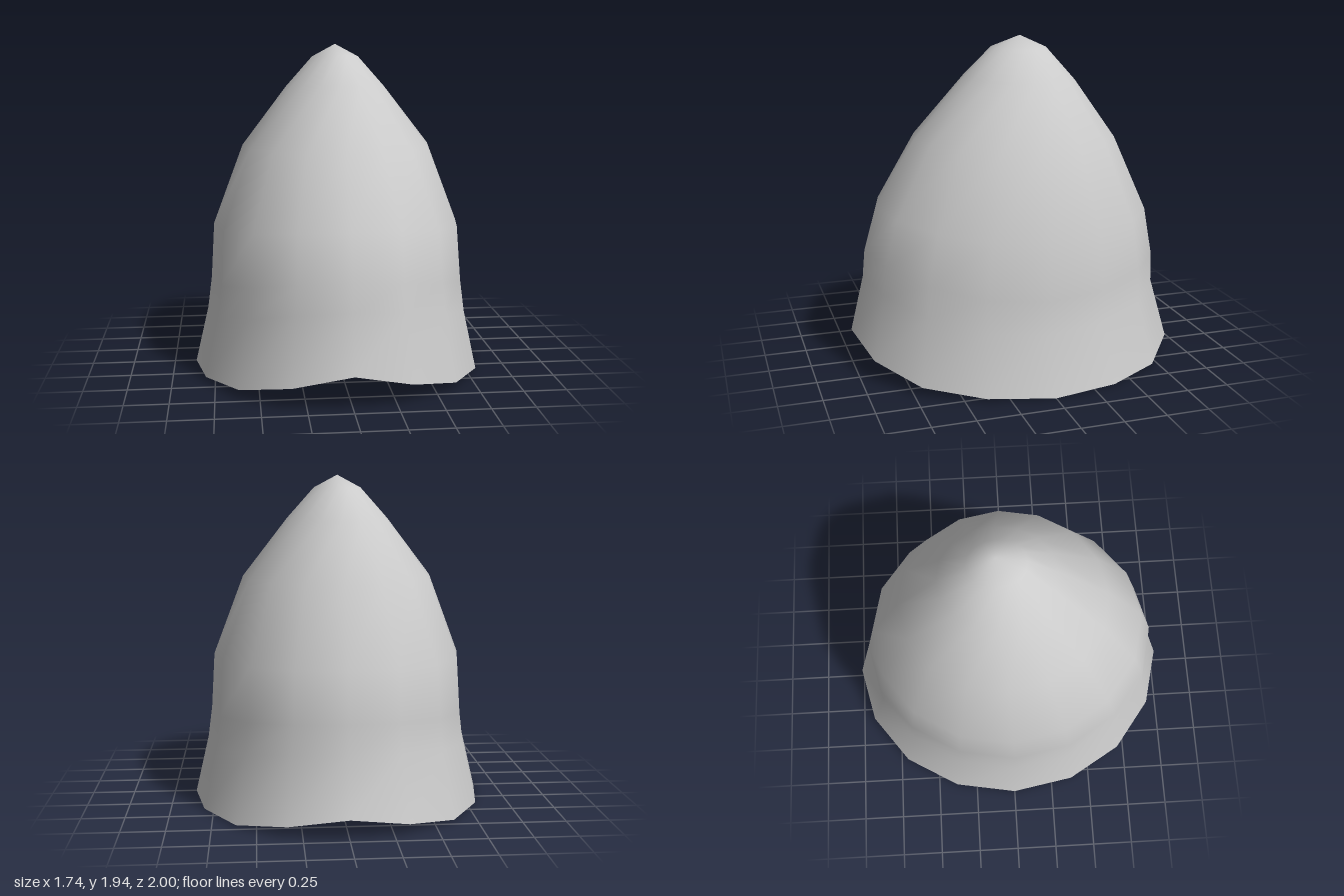
import * as THREE from 'three';

const SIDES = 16;

// Rings from hem to tip: half width, front z, back z, then height at front, side and back
const RINGS = [
  [0.87, 1.0, -1.0, 0.21, 0.005, 0.125],
  [0.79, 0.92, -0.895, 0.54, 0.35, 0.45],
  [0.765, 0.905, -0.895, 0.70, 0.54, 0.62],
  [0.745, 0.825, -0.84, 0.96, 0.87, 0.90],
  [0.565, 0.59, -0.64, 1.35, 1.345, 1.34],
  [0.30, 0.28, -0.40, 1.71, 1.69, 1.68],
  [0.14, 0.11, -0.23, 1.88, 1.87, 1.87],
];
const TIP = [0, 1.945, -0.065];

// Heights of the wavy hem, from the front round to the back
const HEM = [0.21, 0.13, 0.055, 0.025, 0.005, 0.01, 0.015, 0.07, 0.125];

function createHood() {
  const positions = [];
  const index = [];

  RINGS.forEach(([halfWidth, front, back, yFront, ySide, yBack], r) => {
    const midZ = (front + back) / 2;
    const depth = (front - back) / 2;
    for (let i = 0; i < SIDES; i++) {
      const angle = (i / SIDES) * Math.PI * 2;
      const c = Math.cos(angle);
      const y = r === 0
        ? HEM[Math.min(i, SIDES - i)]
        : ySide + ((c > 0 ? yFront : yBack) - ySide) * c * c;
      positions.push(Math.sin(angle) * halfWidth, y, midZ + c * depth);
    }
  });

  // Walls between rings
  for (let r = 0; r < RINGS.length - 1; r++) {
    for (let i = 0; i < SIDES; i++) {
      const a = r * SIDES + i;
      const b = r * SIDES + (i + 1) % SIDES;
      index.push(a, b, b + SIDES, a, b + SIDES, a + SIDES);
    }
  }

  // Closed tip
  const tip = positions.length / 3;
  positions.push(...TIP);
  for (let i = 0; i < SIDES; i++) {
    index.push(tip - SIDES + i, tip - SIDES + (i + 1) % SIDES, tip);
  }

  const geometry = new THREE.BufferGeometry();
  geometry.setAttribute('position', new THREE.Float32BufferAttribute(positions, 3));
  geometry.setIndex(index);
  geometry.computeVertexNormals();
  return geometry;
}

export function createModel() {
  const group = new THREE.Group();
  group.name = 'pointedHood';

  // Thin open shell, visible from inside and out
  const material = new THREE.MeshStandardMaterial({ color: 0xcccccc, side: THREE.DoubleSide });
  const shell = new THREE.Mesh(createHood(), material);
  shell.name = 'hoodShell';
  group.add(shell);
  return group;
}
